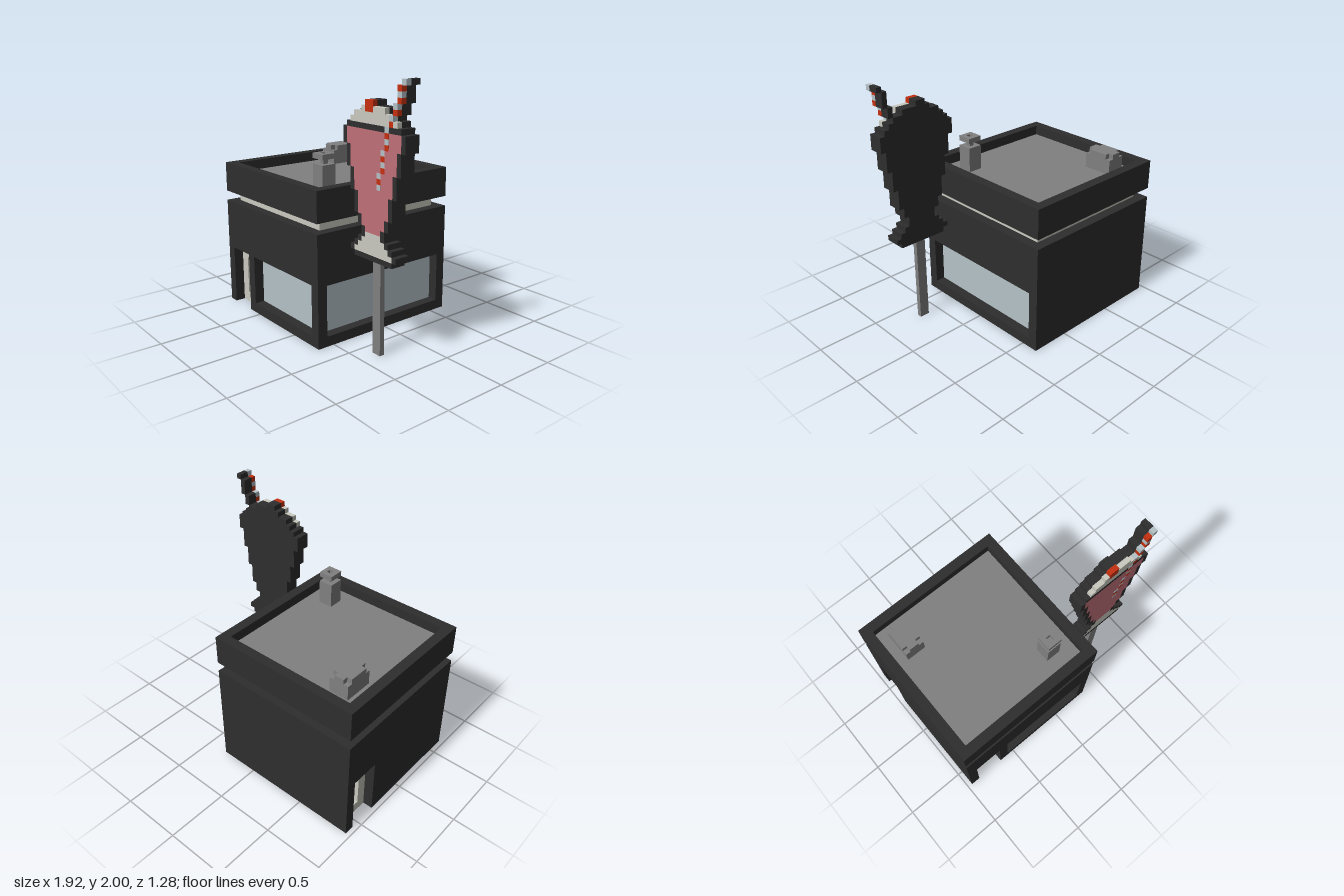
import * as THREE from 'three';
import { mergeGeometries } from 'three/addons/utils/BufferGeometryUtils.js';

const CELL = 0.04; // all sizes below are counted in cells

function material(name, color) {
  const m = new THREE.MeshStandardMaterial({ color });
  m.name = name;
  return m;
}

// One block from cell limits
function block([x0, x1, y0, y1, z0, z1]) {
  return new THREE.BoxGeometry((x1 - x0) * CELL, (y1 - y0) * CELL, (z1 - z0) * CELL)
    .translate((x0 + x1) / 2 * CELL, (y0 + y1) / 2 * CELL, (z0 + z1) / 2 * CELL);
}

export function createModel() {
  const dark = material('charcoal', 0x2e2e2e);
  const grey = material('grey', 0x808080);
  const cream = material('cream', 0xcacac0);
  const glass = material('pale blue', 0xb5c2c7);
  const pink = material('pink', 0xbf7078);
  const red = material('red', 0xc6300f);

  const model = new THREE.Group();
  const add = (parent, name, mat, blocks) => {
    const mesh = new THREE.Mesh(mergeGeometries(blocks.map(block)), mat);
    mesh.name = name;
    parent.add(mesh);
  };
  const group = (name) => {
    const g = new THREE.Group();
    g.name = name;
    model.add(g);
    return g;
  };

  // Building shell
  const building = group('building');
  add(building, 'upperWall', dark, [[-24, 8, 12, 22, -16, 16]]);
  add(building, 'lowerWalls', dark, [
    [-24, 8, 0, 12, -16, -14],   // back
    [-24, -22, 0, 12, -8, 16],   // left side
    [-16, -14, 0, 12, 14, 16],   // post between door and window
    [6, 8, 0, 12, 14, 16],       // front corner
    [-14, 6, 0, 2, 14, 16],      // front sill
    [6, 8, 0, 2, -14, 14],       // side sill
  ]);
  add(building, 'floor', dark, [[-21.8, 5.8, 0.05, 1, -13.8, 13.8]]);
  add(building, 'windows', glass, [
    [-14, 6, 2, 12, 13.8, 14],
    [5.8, 6, 2, 12, -14, 14],
  ]);

  // Doors: a panel around a recessed pane
  add(building, 'frontDoor', cream, [
    [-22, -20, 0, 12, 13, 14], [-18, -16, 0, 12, 13, 14],
    [-20, -18, 0, 2, 13, 14], [-20, -18, 10, 12, 13, 14],
  ]);
  add(building, 'frontDoorPane', glass, [[-20, -18, 2, 10, 12.8, 13]]);
  add(building, 'sideDoor', cream, [
    [-22, -21, 0, 12, -14, -12], [-22, -21, 0, 12, -10, -8],
    [-22, -21, 0, 2, -12, -10], [-22, -21, 10, 12, -12, -10],
  ]);
  add(building, 'sideDoorPane', glass, [[-21, -20.8, 2, 10, -12, -10]]);

  // Band, parapet and roof
  add(building, 'lightBand', cream, [[-22, 6, 22, 24, -14, 14]]);
  add(building, 'parapet', dark, [
    [-24, 8, 24, 30, 14, 16], [-24, 8, 24, 30, -16, -14],
    [-24, -22, 24, 30, -14, 14], [6, 8, 24, 30, -14, 14],
  ]);
  add(building, 'roof', grey, [[-22, 6, 24, 28, -14, 14]]);
  add(building, 'roofUnit', grey, [
    [-20, -16, 28, 31, -12, -6],
    [-20, -16, 31, 32, -11, -7],
    [-19, -17, 31, 32, -12, -11], [-19, -17, 31, 32, -7, -6],
  ]);
  add(building, 'chimney', grey, [
    [0, 3, 28, 33, 8, 11],
    [1, 2, 33, 34, 9, 10],
    [0, 3, 34, 35, 8, 9], [0, 3, 34, 35, 10, 11],
    [0, 1, 34, 35, 9, 10], [2, 3, 34, 35, 9, 10],
  ]);

  // Sign: a stepped cup, each row as [x0, x1, y0, y1]
  const sign = group('sign');
  const base = [[10, 22, 19, 20], [11, 21, 20, 21], [12, 20, 21, 22], [13, 19, 22, 23]];
  const cup = [
    [13, 19, 23, 24], [12, 20, 24, 26], [11, 21, 26, 30],
    [10, 22, 30, 34], [9, 23, 34, 38], [8, 24, 38, 41],
  ];
  const caps = [[11, 21, 18, 19], [9, 23, 41, 42]];
  const cream3 = [[10, 22, 42, 43], [11, 20, 43, 44], [13, 19, 44, 45]];
  const cherry = [14, 16, 44, 46];

  // Straw: column for each row from the bottom up, colours alternating
  const strawColumns = [17, 17, 17, 18, 18, 18, 18, 19, 19, 19, 19, 20, 20, 21, 21, 22, 22, 22, 23];
  const straw = strawColumns.map((x, i) => [x, x + 1, 31 + i, 32 + i]);

  const front = (r) => [...r, 9, 10];
  const raised = (r) => [...r, 9, 10.04];
  const back = (r) => [...r, 7, 9];
  const inner = ([x0, x1, y0, y1]) => front([x0 + 1, x1 - 1, y0, y1]);
  const rims = ([x0, x1, y0, y1]) => [front([x0, x0 + 1, y0, y1]), front([x1 - 1, x1, y0, y1])];

  add(sign, 'pole', grey, [[15, 17, 0, 18, 8, 9]]);
  add(sign, 'backing', dark,
    [...base, ...cup, ...caps, ...cream3, [14, 16, 45, 46], ...straw.slice(12)].map(back));
  add(sign, 'outline', dark, [...[...base, ...cup].flatMap(rims), ...caps.map(front)]);
  add(sign, 'cupFoot', cream, base.map(inner));
  add(sign, 'drink', pink, cup.map(inner));
  add(sign, 'whippedTop', cream, cream3.map(front));
  add(sign, 'cherry', red, [raised(cherry)]);
  add(sign, 'strawLight', glass, straw.filter((_, i) => i % 2 === 0).map(raised));
  add(sign, 'strawRed', red, straw.filter((_, i) => i % 2 === 1).map(raised));

  return model;
}
